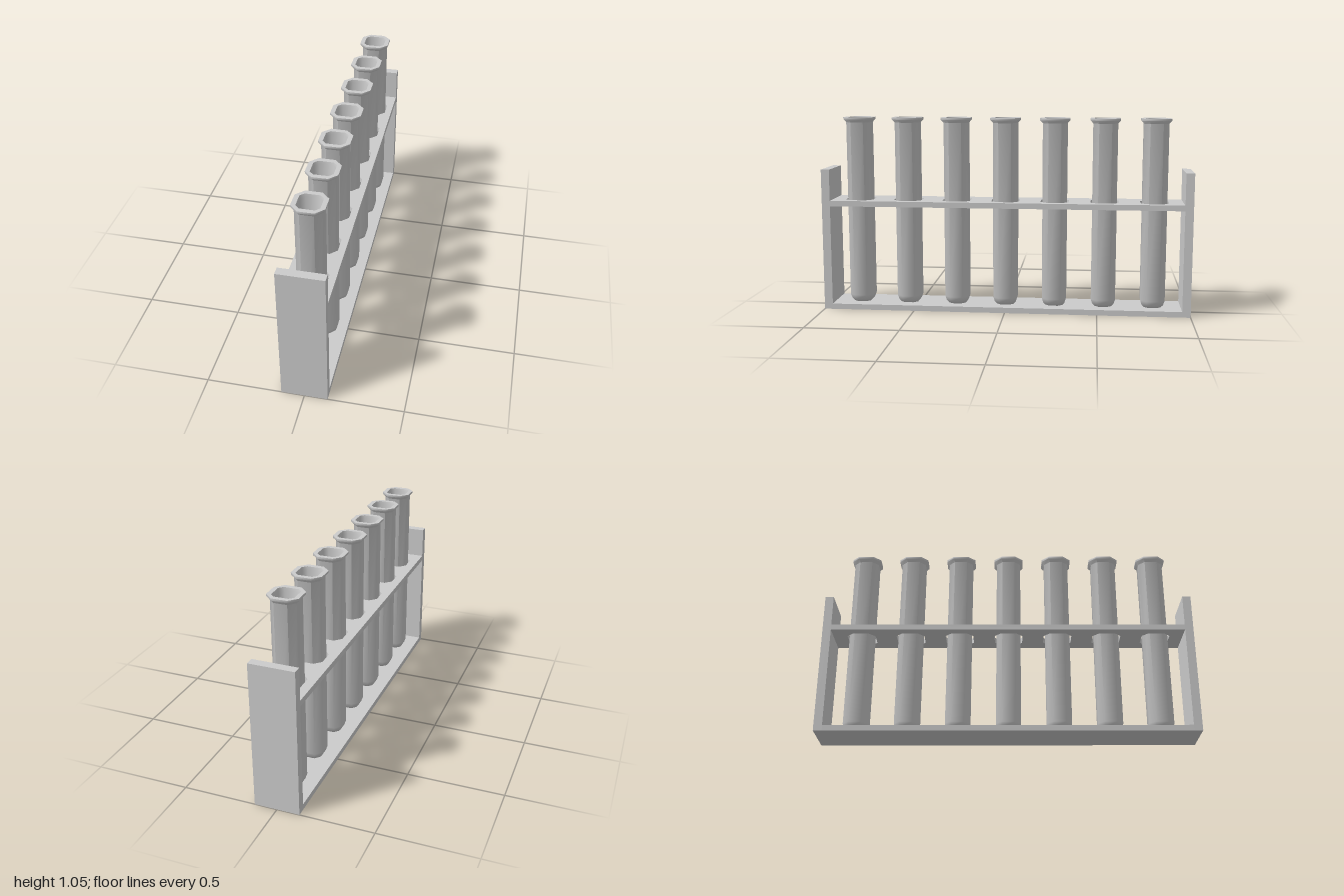
import * as THREE from 'three';
import { toCreasedNormals } from 'three/addons/utils/BufferGeometryUtils.js';

const TUBES = 7, SPACING = 0.268, TUBE_X = 0.006, TUBE_Z = 0.003;
const WIDTH = 0.236, LENGTH = 2, WALL = 0.045;

// Corners of a square with cut corners, counter-clockwise
function octagon(half, cut) {
  const k = half - cut;
  return [[half, -k], [half, k], [k, half], [-k, half], [-half, k], [-half, -k], [-k, -half], [k, -half]];
}

// Joins octagonal rings [y, half width, corner cut] into a closed skin
function ringGeometry(rings) {
  const position = [];
  const loops = rings.map(([y, half, cut]) => octagon(half, cut).map(([x, z]) => [x, y, -z]));
  for (let i = 0; i < loops.length - 1; i++) {
    for (let j = 0; j < 8; j++) {
      const n = (j + 1) % 8;
      const a = loops[i][j], b = loops[i][n], c = loops[i + 1][n], d = loops[i + 1][j];
      if (rings[i][1] > 0) position.push(...a, ...b, ...c);
      if (rings[i + 1][1] > 0) position.push(...a, ...c, ...d);
      else if (rings[i][1] > 0) continue;
    }
  }
  const geometry = new THREE.BufferGeometry();
  geometry.setAttribute('position', new THREE.Float32BufferAttribute(position, 3));
  return toCreasedNormals(geometry, 0.9);
}

export function createModel() {
  const group = new THREE.Group();
  const material = new THREE.MeshStandardMaterial({ color: 0xcccccc });
  const add = (name, geometry, x, y, z) => {
    const mesh = new THREE.Mesh(geometry, material);
    mesh.name = name;
    mesh.position.set(x, y, z);
    group.add(mesh);
  };
  const zs = Array.from({ length: TUBES }, (_, i) => TUBE_Z + (i - (TUBES - 1) / 2) * SPACING);

  // Base board and the two end boards
  const inner = LENGTH - 2 * WALL;
  add('base', new THREE.BoxGeometry(WIDTH, 0.03, inner), 0, 0.015, 0);
  for (const side of [1, -1]) {
    add(side > 0 ? 'frontEndBoard' : 'backEndBoard',
      new THREE.BoxGeometry(WIDTH, 0.775, WALL), 0, 0.3875, side * (LENGTH - WALL) / 2);
  }

  // Shelf with a hole for each tube
  const w = WIDTH / 2, l = inner / 2;
  const outline = [[-w, -l], [w, -l], [w, l], [-w, l]].map(p => new THREE.Vector2(...p));
  const shelf = new THREE.Shape(outline);
  for (const z of zs) {
    const hole = octagon(0.076, 0.034).map(([x, y]) => new THREE.Vector2(x + TUBE_X, y - z));
    shelf.holes.push(new THREE.Path(hole.reverse()));
  }
  const shelfGeometry = new THREE.ExtrudeGeometry(shelf, { depth: 0.03, bevelEnabled: false });
  shelfGeometry.rotateX(-Math.PI / 2);
  add('shelf', shelfGeometry, 0, 0.575, 0);

  // Hollow tubes: tapered foot, straight wall, flared rim, then down the inside
  const tube = ringGeometry([
    [0.031, 0, 0],
    [0.031, 0.046, 0.022],
    [0.045, 0.058, 0.028],
    [0.07, 0.066, 0.032],
    [1.028, 0.066, 0.032],
    [1.044, 0.08, 0.04],
    [1.055, 0.08, 0.04],
    [1.055, 0.057, 0.02],
    [1.04, 0.054, 0.02],
    [0.085, 0.054, 0.02],
    [0.055, 0.036, 0.015],
    [0.055, 0, 0],
  ]);
  zs.forEach((z, i) => add(`testTube${i + 1}`, tube, TUBE_X, 0, z));

  return group;
}
